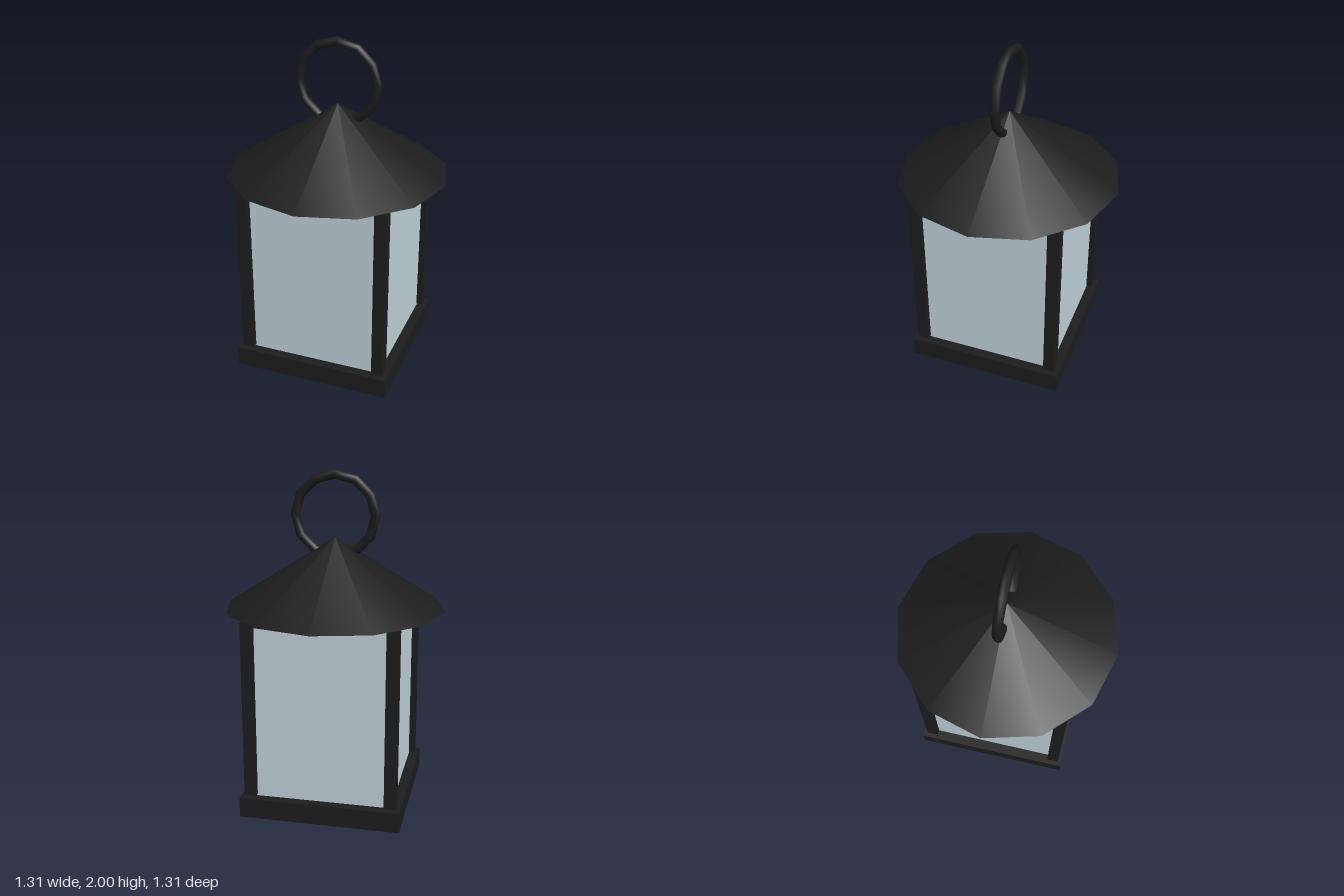
import * as THREE from 'three';

export function createModel() {
  const model = new THREE.Group();
  model.name = 'lantern';
  const metal = new THREE.MeshStandardMaterial({ color: 0x1c1c1c });
  const glass = new THREE.MeshStandardMaterial({ color: 0xbfd1d8 });

  const add = (name, geometry, material, x, y, z) => {
    const mesh = new THREE.Mesh(geometry, material);
    mesh.name = name;
    mesh.position.set(x, y, z);
    model.add(mesh);
    return mesh;
  };

  // Square base plate
  add('base', new THREE.BoxGeometry(0.95, 0.12, 0.95), metal, 0, 0.06, 0);

  // Glass body
  add('glassBody', new THREE.BoxGeometry(0.83, 1.08, 0.83), glass, 0, 0.66, 0);

  // Corner posts, just clear of base and roof
  const post = new THREE.BoxGeometry(0.07, 1.055, 0.07);
  for (const [side, x] of [['left', 0.415], ['right', -0.415]]) {
    for (const [end, z] of [['Front', 0.415], ['Back', -0.415]]) {
      add(`${side}${end}Post`, post, metal, x, 0.659, z);
    }
  }

  // Twelve-sided conical roof
  add('roof', new THREE.ConeGeometry(0.655, 0.415, 12), metal, 0, 1.403, 0);

  // Carrying ring, sunk into the roof peak
  add('ring', new THREE.TorusGeometry(0.237, 0.028, 8, 12), metal, 0, 1.735, 0);

  return model;
}
